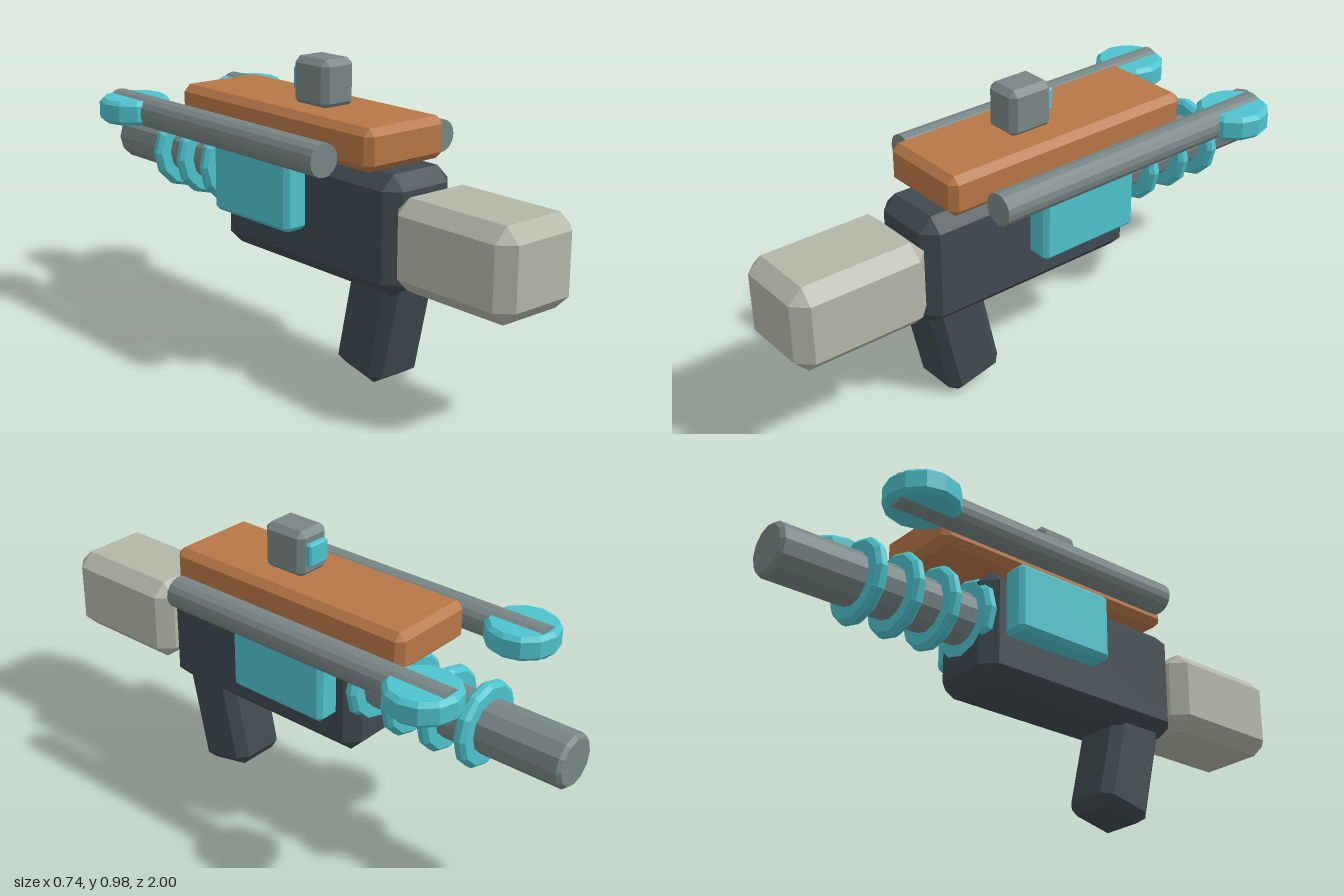
import * as THREE from 'three';
import { ConvexGeometry } from 'three/addons/geometries/ConvexGeometry.js';

const material = (name, color, flatShading = true) => {
  const m = new THREE.MeshStandardMaterial({ color, flatShading });
  m.name = name;
  return m;
};

// Box with every edge cut at 45 degrees
function chamferBox(w, h, d, c) {
  const pts = [];
  const [x, y, z] = [w / 2, h / 2, d / 2];
  for (const sx of [-1, 1]) for (const sy of [-1, 1]) for (const sz of [-1, 1]) {
    pts.push(new THREE.Vector3(sx * x, sy * (y - c), sz * (z - c)));
    pts.push(new THREE.Vector3(sx * (x - c), sy * y, sz * (z - c)));
    pts.push(new THREE.Vector3(sx * (x - c), sy * (y - c), sz * z));
  }
  return new ConvexGeometry(pts);
}

// Solid cylinder along y with bevelled rims
function bevelCylinder(r, h, c, sides) {
  const profile = [[0, -h / 2], [r - c, -h / 2], [r, -h / 2 + c], [r, h / 2 - c], [r - c, h / 2], [0, h / 2]];
  return new THREE.LatheGeometry(profile.map(p => new THREE.Vector2(...p)), sides);
}

export function createModel() {
  const group = new THREE.Group();
  const dark = material('dark slate', 0x3f4a51);
  const orange = material('copper orange', 0xb87747);
  const teal = material('teal', 0x4ec3ce);
  const grey = material('steel grey', 0x798686);
  const beige = material('pale stone', 0xb3b7a7);

  const add = (name, geometry, mat, x, y, z, rx = 0) => {
    const mesh = new THREE.Mesh(geometry, mat);
    mesh.name = name;
    mesh.position.set(x, y, z);
    mesh.rotation.x = rx;
    group.add(mesh);
    return mesh;
  };

  // Body, stock, grip and top cover
  add('body', chamferBox(0.274, 0.38, 0.825, 0.045), dark, 0, 0.515, 0.122);
  add('stock', chamferBox(0.314, 0.287, 0.467, 0.046), beige, 0, 0.514, 0.7665);
  add('grip', chamferBox(0.204, 0.4, 0.205, 0.032), dark, 0, 0.219, 0.368, 0.218);
  add('topCover', chamferBox(0.326, 0.134, 0.942, 0.023), orange, 0, 0.775, -0.013);

  // Sight with its lens plate
  add('sight', chamferBox(0.13, 0.157, 0.162, 0.02), grey, 0, 0.9135, 0.07);
  add('sightLens', chamferBox(0.084, 0.075, 0.025, 0.005), teal, 0, 0.915, -0.018);

  // Barrel and its rings
  add('barrel', bevelCylinder(0.088, 0.8, 0.012, 12), grey, 0, 0.557, -0.6, Math.PI / 2);
  for (let i = 0; i < 4; i++) {
    add('barrelRing', bevelCylinder(0.14, 0.044, 0.013, 12), teal, 0, 0.557, -0.27 - i * 0.1375, Math.PI / 2);
  }

  // Mirrored side panels, rods and rod discs
  for (const s of [-1, 1]) {
    add('sidePanel', chamferBox(0.09, 0.232, 0.376, 0.015), teal, s * 0.177, 0.583, -0.038);
    add('sideRod', new THREE.CylinderGeometry(0.053, 0.053, 1.085, 16), grey, s * 0.247, 0.747, -0.187, Math.PI / 2);
    add('rodDisc', bevelCylinder(0.12, 0.082, 0.014, 12), teal, s * 0.25, 0.747, -0.635);
  }
  return group;
}
